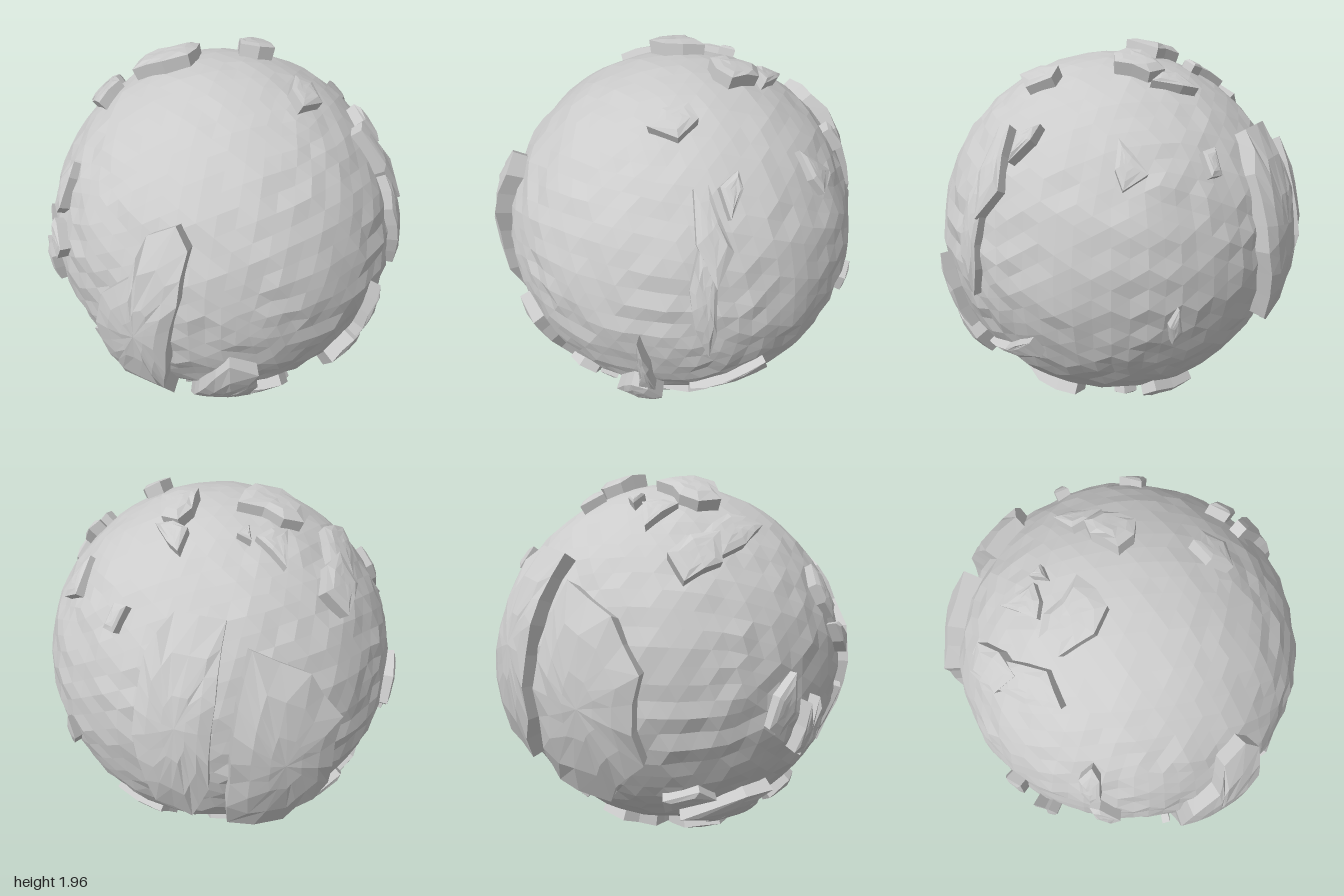
import * as THREE from 'three';

const R = 0.92;
const CENTRE = new THREE.Vector3(0.03, 1.01, -0.03);
const material = new THREE.MeshStandardMaterial({ color: 0xcccccc, flatShading: true });
const V = (x, y, z) => new THREE.Vector3(x, y, z);

// Repeatable 0..1 noise from a position
function noise(x, y, z) {
  const s = Math.sin(Math.round(x * 1000) * 12.9898 + Math.round(y * 1000) * 78.233 + Math.round(z * 1000) * 37.719) * 43758.5453;
  return s - Math.floor(s);
}

// Slanted side, given by azimuth and elevation in degrees; coordinates already centred
function slanted(azimuth, elevation) {
  const a = THREE.MathUtils.degToRad(azimuth), e = THREE.MathUtils.degToRad(elevation);
  return {
    right: V(Math.cos(a), 0, -Math.sin(a)),
    up: V(-Math.sin(a) * Math.sin(e), Math.cos(e), -Math.cos(a) * Math.sin(e)),
    map: (u, v) => [u, v],
  };
}

// Each side has a right and an up axis, and a rule from outline to centred coordinates
const sides = {
  front: { right: V(1, 0, 0), up: V(0, 1, 0), map: (x, y) => [x - CENTRE.x, y - CENTRE.y] },
  left: { right: V(0, 0, -1), up: V(0, 1, 0), map: (z, y) => [CENTRE.z - z, y - CENTRE.y] },
  top: { right: V(1, 0, 0), up: V(0, 0, -1), map: (x, z) => [x - CENTRE.x, CENTRE.z - z] },
  bottom: { right: V(1, 0, 0), up: V(0, 0, 1), map: (x, z) => [x - CENTRE.x, z - CENTRE.z] },
  backRight: slanted(215, 25),
  backLow: slanted(142, -30),
};

// Raised rock plate: an outline wrapped on the ball, walled and closed by shrinking rings
function plate(name, sideName, height, flat) {
  const side = sides[sideName];
  let outline = [];
  for (let i = 0; i < flat.length; i += 2) outline.push(new THREE.Vector2(...side.map(flat[i], flat[i + 1])));
  if (THREE.ShapeUtils.area(outline) < 0) outline.reverse();
  outline = outline.flatMap((p, i) => {
    const next = outline[(i + 1) % outline.length];
    const steps = Math.ceil(p.distanceTo(next) / 0.16);
    return Array.from({ length: steps }, (_, k) => p.clone().lerp(next, k / steps));
  });

  const toward = side.right.clone().cross(side.up);
  const reach = R + height;
  const dirs = outline.map((p) => {
    if (p.length() > reach * 0.995) p.setLength(reach * 0.995);
    const depth = Math.sqrt(reach * reach - p.lengthSq());
    return V(0, 0, 0).addScaledVector(side.right, p.x).addScaledVector(side.up, p.y).addScaledVector(toward, depth).normalize();
  });
  const mid = dirs.reduce((sum, d) => sum.add(d), V(0, 0, 0)).normalize();

  // Rings: buried foot, rim, then two rings running in to the middle
  const rings = [[-0.03, -0.6, 0], [0, 0.88, 0.3], [0.35, 1, 0.12], [0.7, 1, 0.08]];
  const n = dirs.length, pos = [], index = [];
  rings.forEach(([shrink, lift, rough], k) => dirs.forEach((d, i) => {
    const dir = d.clone().lerp(mid, shrink).normalize();
    const r = R + height * (lift + rough * (noise(dir.x, dir.y, dir.z) - 0.5));
    pos.push(...dir.multiplyScalar(r).toArray());
    const a = k * n + i, b = k * n + (i + 1) % n;
    if (k === rings.length - 1) index.push(a, b, rings.length * n);
    else index.push(a, b, b + n, a, b + n, a + n);
  }));
  pos.push(...mid.multiplyScalar(reach).toArray());

  const g = new THREE.BufferGeometry();
  g.setAttribute('position', new THREE.Float32BufferAttribute(pos, 3));
  g.setIndex(index);
  g.computeVertexNormals();
  const mesh = new THREE.Mesh(g, material);
  mesh.name = name;
  mesh.position.copy(CENTRE);
  return mesh;
}

// Faceted ball with shallow, sideways-running dents
function ball() {
  const g = new THREE.IcosahedronGeometry(1, 11);
  const p = g.attributes.position, v = V(0, 0, 0);
  for (let i = 0; i < p.count; i++) {
    v.fromBufferAttribute(p, i).normalize();
    const flank = 1 - v.y * v.y;
    const dent = (noise(v.x, v.y, v.z) - 0.5) * 0.016 * (0.35 + flank);
    const wave = Math.sin(v.y * 34 + 3 * Math.sin(v.x * 3 + v.z * 2)) * 0.004 * flank;
    v.multiplyScalar(R + dent + wave);
    p.setXYZ(i, v.x, v.y, v.z);
  }
  g.computeVertexNormals();
  const mesh = new THREE.Mesh(g, material);
  mesh.name = 'ball';
  mesh.position.copy(CENTRE);
  return mesh;
}

export function createModel() {
  const model = new THREE.Group();
  model.name = 'rockyBall';
  model.add(ball());
  const add = (...args) => model.add(plate(...args));

  // Front
  add('frontTallPlate', 'front', 0.09, [0.17, 0.47, 0.21, 0.7, 0.2, 0.95, 0.25, 1.15, 0.38, 1.28, 0.4, 1.48, 0.5, 1.54, 0.58, 1.45, 0.6, 1.2, 0.53, 0.75, 0.45, 0.55, 0.42, 0.41]);
  add('frontSliver', 'front', 0.05, [0.11, 0.82, 0.15, 0.84, 0.18, 0.48, 0.15, 0.48]);
  add('frontSlantedPlate', 'front', 0.07, [0.42, 0.17, 0.4, 0.3, 0.5, 0.42, 0.62, 0.58, 0.76, 0.8, 0.83, 0.72, 0.78, 0.55, 0.66, 0.35, 0.54, 0.22]);
  add('frontUpperChip', 'front', 0.05, [-0.3, 1.47, -0.23, 1.56, -0.2, 1.5, -0.21, 1.35, -0.26, 1.3, -0.3, 1.38]);
  add('frontMiddleChip', 'front', 0.06, [-0.27, 1.27, -0.22, 1.27, -0.12, 1.18, -0.17, 1.1, -0.24, 1.17]);
  add('frontSpike', 'front', 0.07, [-0.57, 0.68, -0.57, 0.94, -0.52, 0.82, -0.5, 0.66]);
  add('frontSpike', 'front', 0.07, [-0.52, 0.65, -0.53, 0.8, -0.5, 0.95, -0.46, 0.88, -0.46, 0.7]);
  add('frontSideSpike', 'front', 0.05, [-0.72, 0.85, -0.7, 1.0, -0.62, 1.1, -0.62, 0.9, -0.67, 0.8]);
  add('frontLowerRubble', 'front', 0.07, [-0.66, 0.32, -0.62, 0.45, -0.52, 0.46, -0.5, 0.33, -0.55, 0.26]);
  add('frontLowerRubble', 'front', 0.06, [-0.5, 0.4, -0.4, 0.31, -0.36, 0.24, -0.45, 0.2, -0.54, 0.27]);
  add('frontLowerChip', 'front', 0.07, [-0.2, 0.25, -0.14, 0.33, -0.02, 0.33, -0.04, 0.23, -0.12, 0.2]);
  add('frontLowerChip', 'front', 0.04, [0.04, 0.19, 0.08, 0.24, 0.14, 0.22, 0.12, 0.17]);
  add('frontLowerChip', 'front', 0.04, [0.22, 0.19, 0.28, 0.24, 0.29, 0.19]);
  add('rightLowerChip', 'front', 0.05, [-0.82, 0.42, -0.76, 0.52, -0.68, 0.45, -0.7, 0.37]);

  // Model's left side
  add('leftLowPlate', 'left', 0.06, [0.36, 0.38, 0.33, 0.44, 0.25, 0.45, 0.17, 0.39, 0.2, 0.3, 0.24, 0.2, 0.42, 0.2]);
  add('leftLowChip', 'left', 0.05, [0.19, 0.27, 0.17, 0.35, 0.08, 0.31, 0.13, 0.25]);
  add('leftHookBlade', 'left', 0.06, [-0.21, 1.0, -0.25, 0.8, -0.24, 0.55, -0.15, 0.55, -0.19, 0.68]);
  add('leftHookFoot', 'left', 0.08, [-0.22, 0.6, -0.27, 0.5, -0.23, 0.38, -0.1, 0.35, -0.03, 0.5, -0.14, 0.62]);
  add('leftBackStrip', 'left', 0.05, [-0.43, 1.48, -0.42, 1.3, -0.46, 1.1, -0.52, 0.9, -0.55, 1.05, -0.53, 1.3, -0.5, 1.5]);
  add('leftBackSliver', 'left', 0.04, [-0.4, 0.56, -0.55, 0.6, -0.73, 0.73, -0.73, 0.64, -0.6, 0.57]);

  // Top
  add('topMiddleChip', 'top', 0.07, [-0.14, -0.37, -0.05, -0.41, 0.1, -0.32, 0.08, -0.23, 0, -0.17, -0.12, -0.28]);
  add('topMiddleChip', 'top', 0.05, [-0.28, -0.45, -0.2, -0.46, -0.05, -0.44, -0.12, -0.38, -0.2, -0.35]);
  add('topCrag', 'top', 0.07, [-0.4, 0.18, -0.37, 0.08, -0.28, 0.03, -0.2, -0.07, -0.12, 0.02, -0.08, 0.11, -0.15, 0.22, -0.32, 0.28]);
  add('topCragTail', 'top', 0.04, [-0.57, -0.05, -0.4, -0.1, -0.38, 0.0, -0.4, 0.08]);
  add('topSidePlate', 'top', 0.06, [-0.77, 0.17, -0.7, 0.08, -0.6, 0.17, -0.53, 0.3, -0.65, 0.33]);
  add('topSidePlate', 'top', 0.05, [-0.6, 0.2, -0.38, 0.32, -0.33, 0.48, -0.5, 0.42, -0.62, 0.32]);
  add('topBackChip', 'top', 0.04, [0.08, -0.82, 0.2, -0.84, 0.22, -0.78, 0.18, -0.69]);
  add('topBackChip', 'top', 0.05, [-0.28, -0.8, -0.22, -0.82, -0.2, -0.75, -0.27, -0.72]);
  add('topLeftChip', 'top', 0.06, [0.5, -0.5, 0.55, -0.54, 0.66, -0.53, 0.6, -0.45]);
  add('topLeftRubble', 'top', 0.06, [0.68, -0.48, 0.72, -0.57, 0.82, -0.53, 0.79, -0.42, 0.66, -0.35, 0.62, -0.4]);
  add('topLeftChip', 'top', 0.06, [0.35, -0.2, 0.4, -0.27, 0.52, -0.22, 0.52, -0.07, 0.42, -0.1]);
  add('topSmallChip', 'top', 0.05, [-0.42, -0.14, -0.36, -0.18, -0.34, -0.1]);

  // Model's right side and back
  add('rightBackTallPlate', 'backRight', 0.08, [0.1, 0.27, 0.33, 0.27, 0.35, -0.1, 0.33, -0.55, 0.22, -0.75, 0.06, -0.68, -0.02, -0.33, 0, 0.06]);
  add('rightTallPlate', 'backRight', 0.09, [0.46, 0.16, 0.7, 0.09, 0.84, -0.1, 0.81, -0.5, 0.6, -0.75, 0.37, -0.79, 0.43, -0.5]);
  add('backChip', 'backRight', 0.04, [-0.53, -0.47, -0.5, -0.4, -0.47, -0.52, -0.5, -0.56]);
  add('backLowerPlate', 'backLow', 0.06, [0.33, -0.59, 0.39, -0.37, 0.47, -0.31, 0.58, -0.5, 0.47, -0.62]);
  add('backSmallChip', 'backLow', 0.04, [0.18, -0.53, 0.25, -0.49, 0.29, -0.55, 0.25, -0.58]);

  // Underside
  add('leftBottomPlate', 'backLow', 0.08, [-0.39, -0.52, -0.24, -0.455, -0.01, -0.475, -0.03, -0.63, -0.21, -0.7, -0.37, -0.675]);
  add('bottomBackPlate', 'backLow', 0.06, [0.04, -0.81, 0.17, -0.76, 0.41, -0.75, 0.51, -0.72, 0.48, -0.8, 0.3, -0.89, 0.08, -0.9]);
  add('bottomFrontChip', 'backLow', 0.06, [-0.4, -0.75, -0.25, -0.72, -0.1, -0.85, -0.3, -0.87]);
  add('bottomPlate', 'bottom', 0.08, [-0.32, 0.3, -0.1, 0.35, 0.08, 0.26, 0.05, 0.05, -0.1, -0.08, -0.3, 0.1]);
  return model;
}
